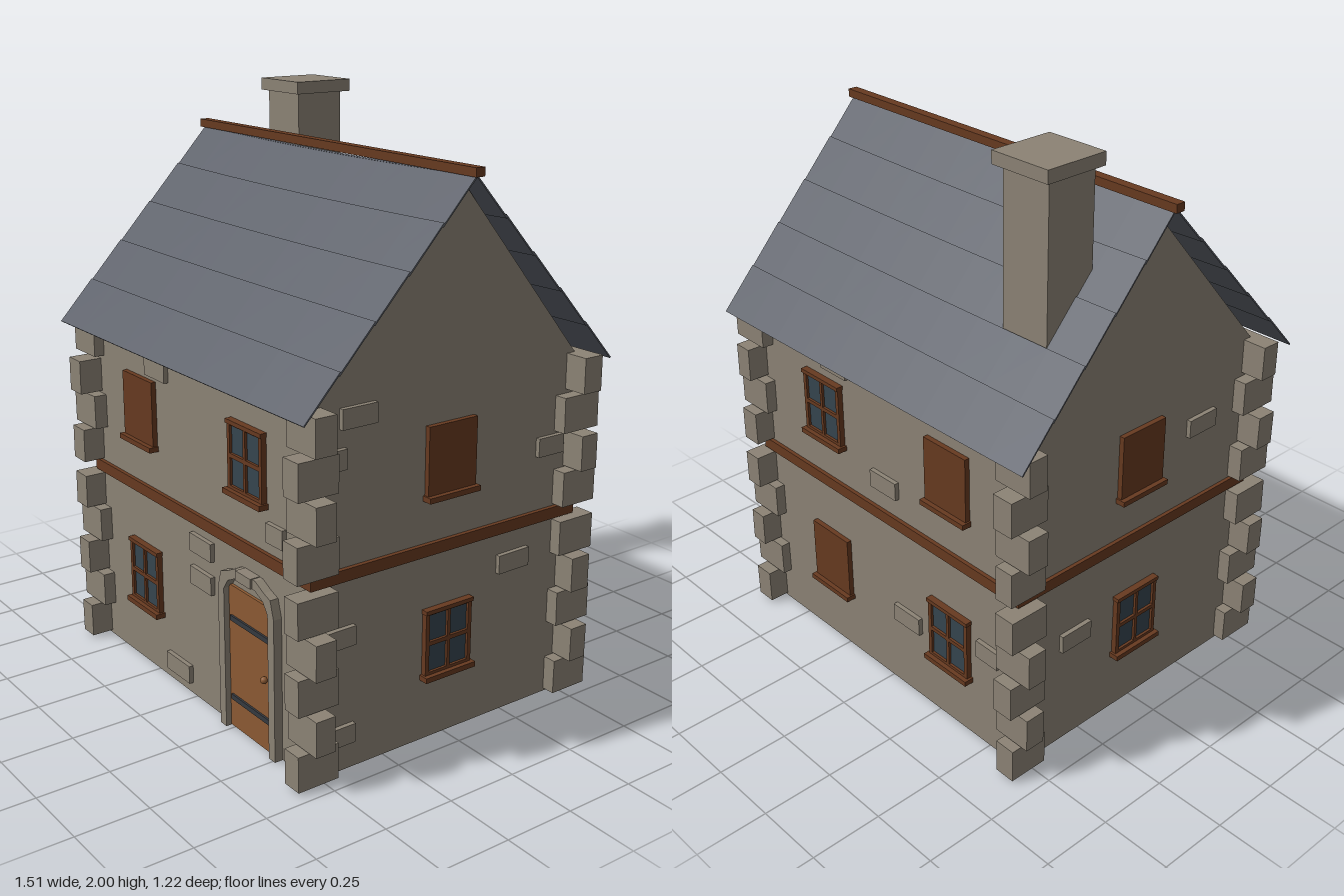
import * as THREE from 'three';

const paint = (name, color, side = THREE.FrontSide) => {
  const m = new THREE.MeshStandardMaterial({ color, side });
  m.name = name;
  return m;
};

export function createModel() {
  const stone = paint('stone', 0x8c8375, THREE.DoubleSide);
  const slate = paint('slate', 0x5e626b, THREE.DoubleSide);
  const wood = paint('dark wood', 0x673a20);
  const doorWood = paint('door wood', 0x8c5a33);
  const glass = paint('glass', 0x36454f);
  const iron = paint('iron', 0x35393f);

  const house = new THREE.Group();
  house.name = 'house';

  let seed = 7;
  const jitter = (a) => {
    seed = (seed * 16807) % 2147483647;
    return (seed / 2147483647 - 0.5) * 2 * a;
  };

  const add = (parent, name, geo, mat, x = 0, y = 0, z = 0) => {
    const mesh = new THREE.Mesh(geo, mat);
    mesh.name = name;
    mesh.position.set(x, y, z);
    parent.add(mesh);
    return mesh;
  };
  // Box given by its limits on each axis
  const block = (parent, name, mat, x0, x1, y0, y1, z0, z1) =>
    add(parent, name, new THREE.BoxGeometry(x1 - x0, y1 - y0, z1 - z0), mat,
      (x0 + x1) / 2, (y0 + y1) / 2, (z0 + z1) / 2);
  const outline = (pts) => new THREE.Shape(pts.map(([x, y]) => new THREE.Vector2(x, y)));

  // Limits of the wall skin
  const X0 = -0.632, X1 = 0.668, Z0 = -0.526, Z1 = 0.526, EAVE = 1.2, APEX = 1.815;

  // Each facade has its own frame: x to the right, y up, z outwards
  const facade = (name, x, z, angle, pts) => {
    const g = new THREE.Group();
    g.name = name;
    g.position.set(x, 0, z);
    g.rotation.y = angle;
    house.add(g);
    add(g, name + 'Skin', new THREE.ShapeGeometry(outline(pts)), stone);
    return g;
  };
  const front = facade('frontWall', 0, Z1, 0, [[X0, 0], [X1, 0], [X1, EAVE], [X0, EAVE]]);
  const back = facade('backWall', 0, Z0, Math.PI, [[-X1, 0], [-X0, 0], [-X0, EAVE], [-X1, EAVE]]);
  const gable = (peak) => [[Z0, 0], [Z1, 0], [Z1, EAVE], [peak, APEX], [Z0, EAVE]];
  const right = facade('rightWall', X1, 0, Math.PI / 2, gable(0.012));
  const left = facade('leftWall', X0, 0, -Math.PI / 2, gable(-0.012));

  // Floor between the storeys, its edge showing as a band
  block(house, 'floorBand', wood, -0.645, 0.683, 0.643, 0.683, -0.54, 0.54);

  // Shared sill and opening, closed by a shutter or glazed with four panes
  const opening = (wall, name, u, y) => {
    const g = new THREE.Group();
    g.name = name;
    g.position.set(u, y, 0);
    wall.add(g);
    block(g, 'sill', wood, -0.103, 0.103, 0, 0.018, -0.02, 0.035);
    return g;
  };
  const shutter = (wall, u, y) => {
    const g = opening(wall, 'shutter', u, y);
    block(g, 'shutterPanel', wood, -0.097, 0.097, 0.01, 0.243, -0.02, 0.018);
  };
  const glazed = (wall, u, y) => {
    const g = opening(wall, 'window', u, y);
    block(g, 'windowBacking', wood, -0.095, 0.095, 0.01, 0.24, -0.02, 0.006);
    block(g, 'lintel', wood, -0.098, 0.098, 0.23, 0.244, -0.02, 0.024);
    const frame = outline([[-0.095, 0.01], [0.095, 0.01], [0.095, 0.24], [-0.095, 0.24]]);
    for (const [px, x0] of [[0, -0.08], [1, 0.006]]) {
      for (const [py, y0] of [[0, 0.028], [1, 0.134]]) {
        const x1 = x0 + 0.074, y1 = y0 + 0.092;
        frame.holes.push(new THREE.Path([[x0, y0], [x0, y1], [x1, y1], [x1, y0]]
          .map(([x, yy]) => new THREE.Vector2(x, yy))));
        block(g, `pane${px}${py}`, glass, x0, x1, y0, y1, 0.005, 0.01);
      }
    }
    add(g, 'windowFrame', new THREE.ExtrudeGeometry(frame, { depth: 0.014, bevelEnabled: false }), wood, 0, 0, 0.005);
  };
  const LOW = 0.215, HIGH = 0.825;
  glazed(front, -0.308, LOW);
  shutter(front, -0.315, HIGH);
  glazed(front, 0.343, HIGH);
  shutter(back, -0.31, LOW);
  glazed(back, 0.315, LOW);
  glazed(back, -0.31, HIGH);
  shutter(back, 0.315, HIGH);
  for (const wall of [right, left]) {
    glazed(wall, 0, LOW);
    shutter(wall, 0, HIGH);
  }

  // Door with iron straps, knob and stone surround
  const door = new THREE.Group();
  door.name = 'door';
  door.position.x = 0.353;
  front.add(door);
  block(door, 'doorPanel', doorWood, -0.126, 0.124, 0.002, 0.506, -0.02, 0.01);
  for (const y of [0.112, 0.394]) block(door, 'strap', iron, -0.11, 0.115, y - 0.009, y + 0.009, 0.008, 0.017);
  add(door, 'knob', new THREE.SphereGeometry(0.012, 10, 8), doorWood, 0.083, 0.253, 0.018);
  const rim = [[0.158, 0], [0.158, 0.49], [0.14, 0.55], [0.105, 0.562], [0.058, 0.585]];
  const inner = [[0.055, 0.552], [0.1, 0.53], [0.124, 0.495], [0.124, 0]];
  const flip = (pts) => pts.map(([x, y]) => [-x, y]).reverse();
  add(door, 'doorSurround', new THREE.ExtrudeGeometry(
    outline([...rim, ...flip(rim), ...flip(inner), ...inner]),
    { depth: 0.045, bevelEnabled: false }), stone, 0, 0, -0.015);
  block(door, 'keystone', stone, -0.042, 0.042, 0.553, 0.587, -0.01, 0.038);

  // Single stones standing proud of each wall: centre, height, width
  const proud = (wall, list) => {
    for (const [u, y, w = 0.13] of list)
      block(wall, 'proudStone', stone, u - w / 2, u + w / 2, y - 0.032, y + 0.032, -0.01, 0.016)
        .rotation.z = jitter(0.02);
  };
  proud(front, [[-0.2, 1.118], [0.495, 0.757, 0.09], [0.065, 0.575], [0.063, 0.457], [-0.1, 0.072, 0.15]]);
  proud(right, [[-0.36, 1.153], [0.425, 0.903, 0.11], [0.277, 0.536], [-0.435, 0.457],
    [-0.42, 0.125, 0.1], [-0.45, 1.03, 0.09]]);
  proud(back, [[0.0, 0.79], [0.1, 0.3], [0.5, 0.38, 0.1], [-0.24, 1.14]]);
  proud(left, [[0.29, 0.97], [-0.28, 0.4]]);

  // Corner stones, turned alternately along x and z
  const levels = [0.01, 0.135, 0.262, 0.388, 0.515, 0.69, 0.816, 0.945, 1.08];
  for (const cx of [-0.643, 0.677]) {
    for (const cz of [-0.528, 0.532]) {
      levels.forEach((y, i) => {
        const alongX = i < 5 ? i % 2 === 1 : i % 2 === 0;
        const long = 0.147 + jitter(0.005), short = 0.073 + jitter(0.006);
        const geo = new THREE.BoxGeometry(alongX ? long : short, 0.12, alongX ? short : long);
        add(house, 'cornerStone', geo, stone, cx + jitter(0.004), y + 0.06, cz + jitter(0.004))
          .rotation.z = jitter(0.015);
      });
    }
  }

  // Roof slopes of overlapping thin courses, sagging slightly in the middle
  const RIDGE_Z = -0.012, RIDGE_Y = 1.822, COURSES = 5;
  for (const [name, eaveZ] of [['frontRoof', 0.603], ['backRoof', -0.61]]) {
    const dz = eaveZ - RIDGE_Z, dy = 1.188 - RIDGE_Y;
    const len = Math.hypot(dz, dy), step = len / COURSES;
    for (let i = 0; i < COURSES; i++) {
      const geo = new THREE.BoxGeometry(1.478, 0.005, step * 1.06, 10, 1, 1);
      geo.rotateX(Math.sign(dz) * Math.atan2(-dy, Math.abs(dz)) + Math.sign(dz) * 0.02);
      const t = (i + 0.5) / COURSES;
      geo.translate(0.005, RIDGE_Y + dy * t, RIDGE_Z + dz * t);
      const p = geo.attributes.position;
      for (let k = 0; k < p.count; k++) {
        const s = p.getX(k) / 0.74;
        p.setY(k, p.getY(k) - 0.012 * (1 - s * s) * (1 - t));
      }
      geo.computeVertexNormals();
      add(house, name + 'Course', geo, slate);
    }
  }
  block(house, 'ridgeBeam', wood, -0.755, 0.75, 1.822, 1.85, -0.036, -0.002);

  // Chimney
  block(house, 'chimneyShaft', stone, -0.576, -0.392, 1.38, 1.96, -0.367, -0.185);
  block(house, 'chimneyCap', stone, -0.6, -0.374, 1.958, 2, -0.396, -0.168);

  return house;
}
